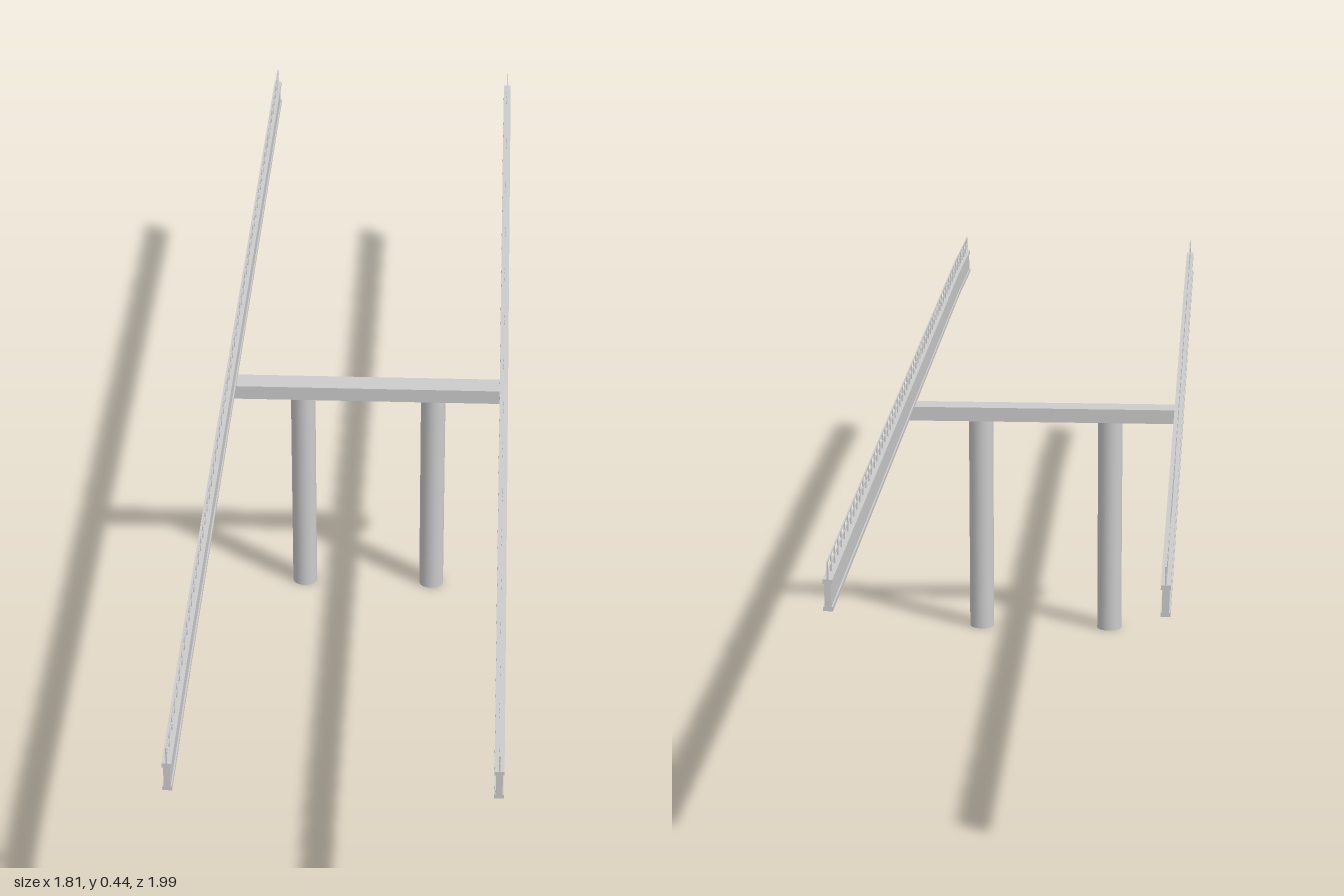
import * as THREE from 'three';
import { mergeGeometries } from 'three/addons/utils/BufferGeometryUtils.js';

const HALF = 1.121;      // half length of the span
const OFFSET = 0.22;     // girder distance from the centre line
const BAYS = 60;         // railing bays per side

// Slight dip of the span toward one end
const dip = (s) => (s < 0.82 ? 0 : -0.007 * THREE.MathUtils.smoothstep(s, 0.82, HALF));

function bend(geometry) {
  const p = geometry.attributes.position;
  for (let i = 0; i < p.count; i++) p.setY(i, p.getY(i) + dip(p.getX(i)));
  return geometry;
}

// Lengthwise strip between two heights
function strip(y0, y1, width) {
  return bend(new THREE.BoxGeometry(HALF * 2, y1 - y0, width, 48, 1, 1).translate(0, (y0 + y1) / 2, 0));
}

export function createModel() {
  const group = new THREE.Group();
  group.name = 'bridgeSpan';
  const material = new THREE.MeshStandardMaterial({ color: 0xcccccc });
  const add = (parent, name, geometry, x = 0, y = 0, z = 0) => {
    const mesh = new THREE.Mesh(geometry, material);
    mesh.name = name;
    mesh.position.set(x, y, z);
    parent.add(mesh);
    return mesh;
  };

  // The span lies diagonally across the ground plane
  const span = new THREE.Group();
  span.name = 'span';
  span.rotation.y = -0.855;
  group.add(span);

  // Girder: web with narrow lips along top and bottom
  const girder = mergeGeometries([
    strip(0.383, 0.414, 0.009),
    strip(0.377, 0.383, 0.013),
    strip(0.414, 0.42, 0.013),
  ]);

  // Railing: two thin rails on regular posts
  const railParts = [strip(0.443, 0.445, 0.002), strip(0.431, 0.433, 0.002)];
  for (let i = 0; i <= BAYS; i++) {
    const s = (HALF - 0.002) * (2 * i / BAYS - 1);
    railParts.push(new THREE.BoxGeometry(0.002, 0.026, 0.002).translate(s, 0.431 + dip(s), 0));
  }
  const railing = mergeGeometries(railParts);

  for (const side of [-1, 1]) {
    const label = side < 0 ? 'left' : 'right';
    add(span, label + 'Girder', girder, 0, 0, side * OFFSET);
    add(span, label + 'Railing', railing, 0, 0, side * OFFSET);
    // Round pier column under the cross beam
    add(span, label + 'Column', new THREE.CylinderGeometry(0.02, 0.02, 0.358, 24), 0, 0.179, side * 0.106);
  }

  // Cross beam carrying both girders
  add(span, 'crossBeam', new THREE.BoxGeometry(0.04, 0.023, 0.45), 0, 0.3665, 0);

  return group;
}
